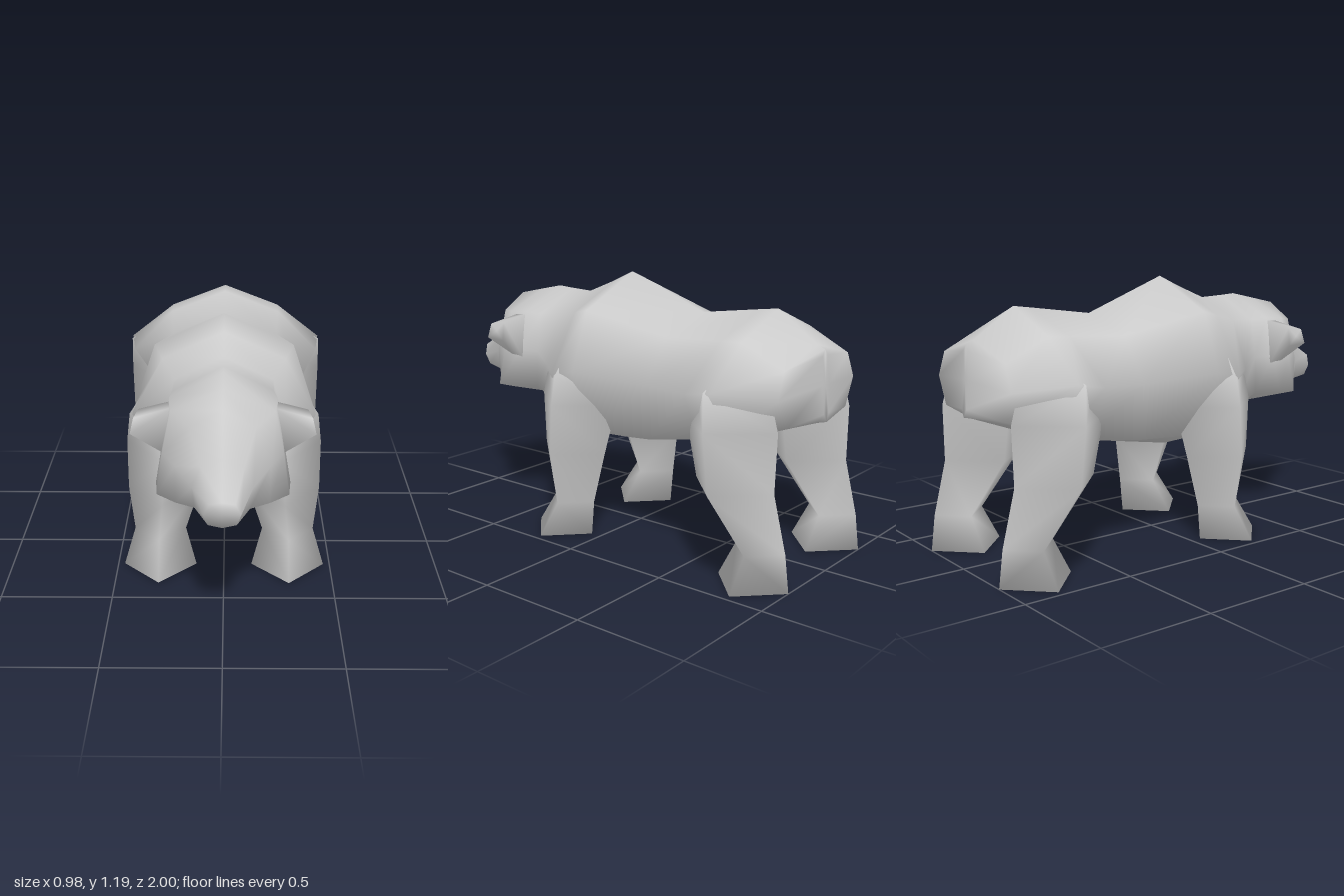
import * as THREE from 'three';

const material = new THREE.MeshStandardMaterial({ color: 0xcccccc });

// Skin a list of equal-sized rings of [x, y, z]; both ends are closed with a fan.
function loft(name, rings, flip = false) {
  const n = rings[0].length, last = rings.length - 1;
  const points = rings.flat();
  const index = [];
  const tri = (a, b, c) => (flip ? index.push(a, c, b) : index.push(a, b, c));
  for (let i = 0; i < last; i++) {
    for (let j = 0; j < n; j++) {
      const k = (j + 1) % n;
      const a = i * n + j, b = i * n + k, c = b + n, d = a + n;
      tri(a, c, b);
      tri(a, d, c);
    }
  }
  for (const end of [0, last]) {
    const centre = [0, 1, 2].map(k => rings[end].reduce((s, p) => s + p[k], 0) / n);
    const m = points.push(centre) - 1;
    for (let j = 0; j < n; j++) {
      const a = end * n + j, b = end * n + (j + 1) % n;
      if (end === 0) tri(m, a, b); else tri(m, b, a);
    }
  }
  const geometry = new THREE.BufferGeometry();
  geometry.setAttribute('position', new THREE.Float32BufferAttribute(points.flat(), 3));
  geometry.setIndex(index);
  geometry.computeVertexNormals();
  const mesh = new THREE.Mesh(geometry, material);
  mesh.name = name;
  return mesh;
}

// Mirrored eight-sided slice: ridge, upper corner, side, lower corner, keel.
// z runs from zTop at the ridge to zBottom at the keel.
function slice([zTop, zBottom, top, xu, yu, xs, ys, xl, yl, bottom]) {
  const half = [[0, top], [xu, yu], [xs, ys], [xl, yl], [0, bottom]];
  const mirrored = half.slice(1, 4).reverse().map(([x, y]) => [-x, y]);
  return [...half, ...mirrored].map(([x, y]) =>
    [x, y, THREE.MathUtils.lerp(zTop, zBottom, (top - y) / (top - bottom))]);
}

// Diamond section of a leg, from inner/outer x and back/front z.
function diamond([y, inner, outer, back, front], side) {
  const x = (inner + outer) / 2, z = (back + front) / 2;
  return [[x, y, front], [inner, y, z], [x, y, back], [outer, y, z]]
    .map(([px, py, pz]) => [px * side, py, pz]);
}

export function createModel() {
  const bear = new THREE.Group();
  bear.name = 'bear';

  bear.add(loft('bodyAndHead', [
    // Rump and hips
    [-0.955, -0.975, 0.945, 0.02, 0.92, 0.03, 0.8, 0.02, 0.68, 0.645],
    [-0.92, -0.935, 0.96, 0.26, 0.89, 0.31, 0.78, 0.24, 0.66, 0.635],
    [-0.73, -0.73, 1.09, 0.27, 0.985, 0.485, 0.815, 0.38, 0.6, 0.56],
    [-0.65, -0.53, 1.08, 0.27, 0.98, 0.465, 0.79, 0.3, 0.56, 0.485],
    // Waist, shoulder hump, chest, neck
    [-0.35, -0.25, 1.04, 0.25, 0.96, 0.34, 0.76, 0.26, 0.5, 0.45],
    [0.05, 0.08, 1.19, 0.31, 1.045, 0.4, 0.78, 0.26, 0.48, 0.395],
    [0.16, 0.2, 1.14, 0.27, 1.02, 0.41, 0.76, 0.26, 0.5, 0.43],
    [0.31, 0.38, 1.08, 0.21, 0.985, 0.27, 0.76, 0.2, 0.57, 0.52],
    [0.43, 0.47, 1.085, 0.21, 0.98, 0.225, 0.8, 0.22, 0.63, 0.575],
    // Head narrowing to a blunt muzzle
    [0.51, 0.58, 1.09, 0.22, 0.985, 0.25, 0.8, 0.28, 0.625, 0.545],
    [0.63, 0.68, 1.065, 0.21, 0.975, 0.245, 0.8, 0.27, 0.62, 0.555],
    [0.77, 0.74, 1.035, 0.13, 0.96, 0.19, 0.79, 0.19, 0.62, 0.565],
    [0.84, 0.84, 0.86, 0.085, 0.83, 0.12, 0.74, 0.11, 0.65, 0.61],
    [1.0, 0.97, 0.76, 0.05, 0.75, 0.072, 0.7, 0.055, 0.65, 0.635],
  ].map(slice)));

  // Leg sections from the sole up: y, inner x, outer x, back z, front z
  const frontLeg = [
    [0, 0.13, 0.47, 0.05, 0.38],
    [0.16, 0.18, 0.42, 0.035, 0.27],
    [0.39, 0.11, 0.44, -0.01, 0.355],
    [0.62, 0.07, 0.44, -0.065, 0.385],
    [0.75, 0.07, 0.425, -0.06, 0.36],
    [0.93, 0.1, 0.31, 0.04, 0.25],
  ];
  const hindLeg = [
    [0, 0.13, 0.47, -1.0, -0.66],
    [0.16, 0.18, 0.42, -0.98, -0.745],
    [0.4, 0.11, 0.49, -0.92, -0.54],
    [0.65, 0.1, 0.49, -0.925, -0.48],
    [0.81, 0.1, 0.487, -0.88, -0.52],
    [0.92, 0.1, 0.3, -0.8, -0.6],
  ];

  // Ear: a wedge leaning out from the side of the head, root then tip
  const ear = [
    [[0.2, 0.975, 0.53], [0.2, 0.97, 0.59], [0.25, 0.775, 0.6], [0.25, 0.77, 0.53]],
    [[0.345, 0.945, 0.55], [0.36, 0.935, 0.62], [0.375, 0.87, 0.63], [0.355, 0.86, 0.55]],
  ];

  for (const side of [1, -1]) {
    const label = side > 0 ? 'left' : 'right';
    bear.add(loft(`${label}FrontLeg`, frontLeg.map(s => diamond(s, side)), side < 0));
    bear.add(loft(`${label}HindLeg`, hindLeg.map(s => diamond(s, side)), side < 0));
    const mirroredEar = ear.map(ring => ring.map(([x, y, z]) => [x * side, y, z]));
    bear.add(loft(`${label}Ear`, mirroredEar, side > 0));
  }
  return bear;
}
